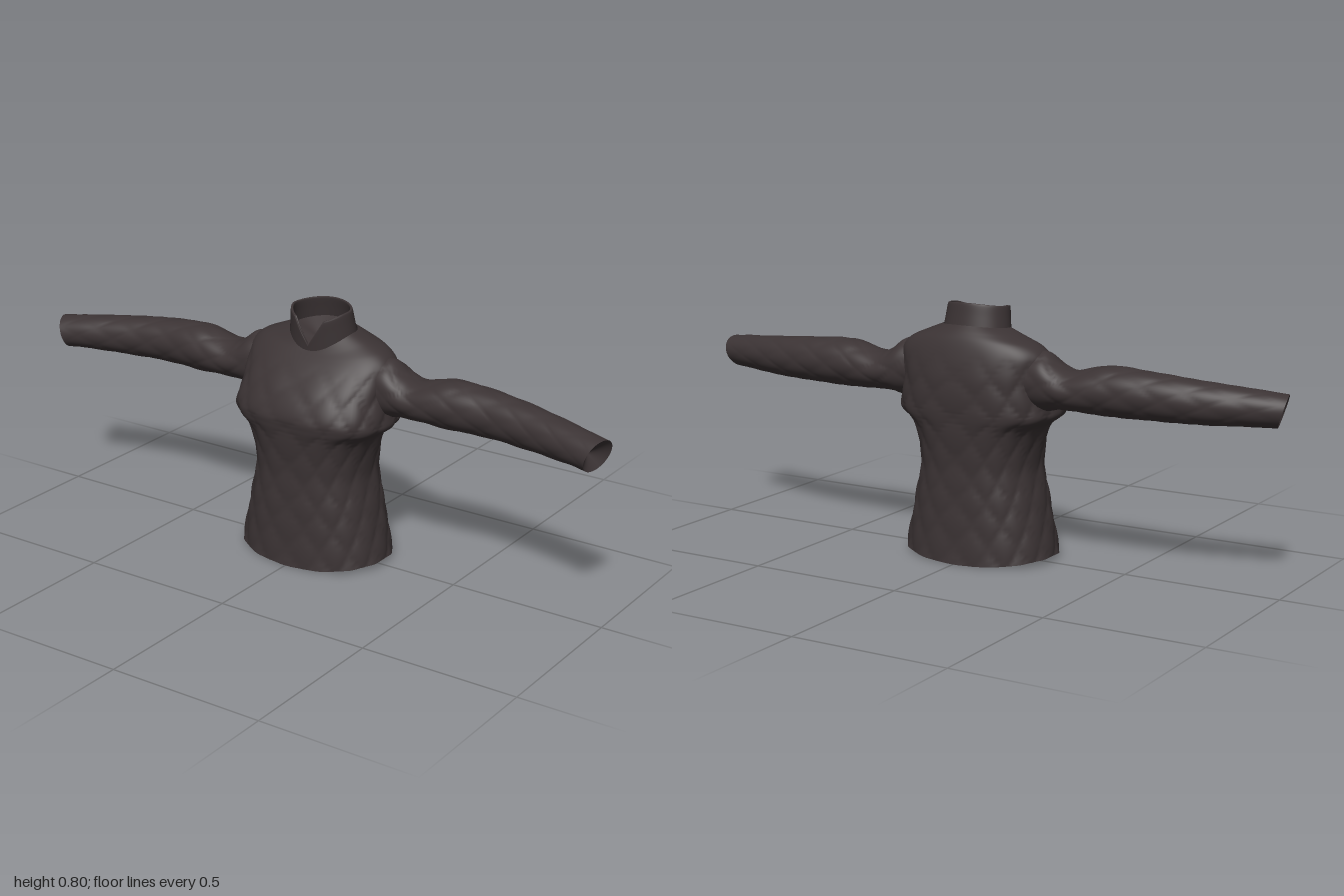
import * as THREE from 'three';

const SEG = 112;

// Smooth interpolation through the rows of a small table, t in 0..1
function sample(table, t) {
  const f = t * (table.length - 1);
  const i = Math.min(Math.floor(f), table.length - 2);
  const u = f - i;
  const row = (k) => table[Math.max(0, Math.min(table.length - 1, k))];
  return table[0].map((_, c) => {
    const [a, b, d, e] = [row(i - 1)[c], row(i)[c], row(i + 1)[c], row(i + 2)[c]];
    return b + 0.5 * u * (d - a + u * (2 * a - 5 * b + 4 * d - e + u * (3 * (b - d) + e - a)));
  });
}

// Skin of closed rings; point(t, angle) returns [x, y, z]
function loft(rows, point, flip = false, seg = SEG) {
  const pos = [], idx = [];
  for (let i = 0; i <= rows; i++) {
    for (let j = 0; j < seg; j++) pos.push(...point(i / rows, (j / seg) * Math.PI * 2));
  }
  for (let i = 0; i < rows; i++) {
    for (let j = 0; j < seg; j++) {
      const a = i * seg + j, b = i * seg + ((j + 1) % seg), c = a + seg, d = b + seg;
      if (flip) idx.push(a, b, c, b, d, c);
      else idx.push(a, c, b, b, c, d);
    }
  }
  const g = new THREE.BufferGeometry();
  g.setAttribute('position', new THREE.Float32BufferAttribute(pos, 3));
  g.setIndex(idx);
  g.computeVertexNormals();
  return g;
}

// Shallow cone from an opening's rim to an inner point
function lining(rim, apex, flip) {
  return loft(4, (t, a) => rim(a).map((v, k) => v + (apex[k] - v) * t), flip, 48);
}

// Diamond padding: 0 on the stitch lines, 1 in the middle of each diamond
const quilt = (u, v) => Math.sqrt(Math.abs(Math.sin(Math.PI * (u + v)) * Math.sin(Math.PI * (u - v))));
const power = (v, e) => Math.sign(v) * Math.abs(v) ** e;

// Body rings: y front, y side, y back, half width, z front, z back, squareness
const BODY = [
  [0, 0.02, 0, 0.25, 0.176, -0.176, 0.9],
  [0.1, 0.105, 0.1, 0.231, 0.17, -0.17, 0.88],
  [0.2, 0.2, 0.2, 0.208, 0.165, -0.165, 0.85],
  [0.29, 0.29, 0.29, 0.188, 0.161, -0.162, 0.82],
  [0.37, 0.37, 0.37, 0.195, 0.165, -0.166, 0.8],
  [0.42, 0.42, 0.42, 0.214, 0.17, -0.17, 0.78],
  [0.455, 0.455, 0.455, 0.258, 0.175, -0.173, 0.8],
  [0.49, 0.49, 0.49, 0.26, 0.176, -0.175, 0.8],
  [0.55, 0.55, 0.55, 0.25, 0.149, -0.174, 0.82],
  [0.6, 0.605, 0.605, 0.25, 0.114, -0.168, 0.85],
  [0.635, 0.645, 0.655, 0.25, 0.085, -0.157, 0.9],
  [0.652, 0.677, 0.69, 0.222, 0.069, -0.145, 0.95],
  [0.663, 0.703, 0.713, 0.165, 0.058, -0.131, 1],
  [0.67, 0.724, 0.732, 0.112, 0.051, -0.114, 1],
];

function ringPoint([yF, yS, yB, w, zF, zB, e], a, puff = 1) {
  const s = Math.sin(a), mid = (zF + zB) / 2;
  return [
    w * power(Math.cos(a), e) * puff,
    yS + ((s > 0 ? yF : yB) - yS) * s * s,
    mid + ((zF - zB) / 2) * power(s, e) * puff,
  ];
}

function bodyPoint(t, a) {
  const r = sample(BODY, t);
  const fade = 1 - THREE.MathUtils.smoothstep(r[1], 0.55, 0.68);
  return ringPoint(r, a, 0.985 + 0.015 * (1 - fade) + 0.03 * fade * quilt((a * 14) / (2 * Math.PI), r[1] / 0.13));
}

// Collar: outer wall, rolled edge and inner wall, with a V notch at the front
function collarPoint(t, a) {
  const [k, inset] = sample([[0, 0], [0.5, 0], [0.97, 0], [1, 0.004], [0.97, 0.008], [0.5, 0.008], [0.1, 0.008]], t);
  const low = ringPoint([0.665, 0.715, 0.728, 0.11, 0.052, -0.115, 1], a);
  const top = ringPoint([0.757, 0.787, 0.797, 0.1, 0.058, -0.1, 1], a);
  const away = Math.abs(a - Math.PI / 2);
  const height = k * (0.2 + 0.8 * Math.min(1, away / 0.55) ** 0.85);
  const p = low.map((v, i) => v + (top[i] - v) * height);
  p[0] -= Math.cos(a) * inset;
  p[2] -= Math.sin(a) * inset;
  return p;
}

// Sleeve rings: x, centre y, centre z, half height, half depth
const SLEEVE = [
  [0.19, 0.575, -0.035, 0.088, 0.075],
  [0.25, 0.573, -0.038, 0.088, 0.078],
  [0.3, 0.561, -0.039, 0.067, 0.08],
  [0.35, 0.555, -0.039, 0.061, 0.079],
  [0.46, 0.565, -0.038, 0.075, 0.077],
  [0.6, 0.563, -0.037, 0.071, 0.067],
  [0.75, 0.556, -0.017, 0.064, 0.062],
  [0.9, 0.55, 0.019, 0.055, 0.057],
  [0.978, 0.545, 0.041, 0.051, 0.053],
];

function sleevePoint(side, t, a) {
  const [x, cy, cz, ry, rz] = sample(SLEEVE, t);
  const slant = t ** 8;
  const puff = 0.98 + 0.045 * quilt((a * 6) / (2 * Math.PI), x / 0.13) * (1 - slant);
  return [
    side * (x + slant * (0.016 * Math.sin(a) - 0.015 * Math.cos(a))),
    cy + ry * Math.sin(a) * puff,
    cz + rz * Math.cos(a) * puff,
  ];
}

export function createModel() {
  const model = new THREE.Group();
  model.name = 'quiltedJacket';
  const cloth = new THREE.MeshStandardMaterial({ color: 0x3b3334, side: THREE.DoubleSide });
  cloth.name = 'charcoal cloth';

  const add = (name, geometry, parent = model) => {
    const mesh = new THREE.Mesh(geometry, cloth);
    mesh.name = name;
    parent.add(mesh);
  };

  // Body and hem opening
  add('body', loft(130, bodyPoint));
  add('hemLining', lining((a) => bodyPoint(0, a), [0, 0.07, 0], true));

  // Stand collar and neck opening
  add('collar', loft(30, collarPoint));
  add('neckLining', lining((a) => collarPoint(1, a), [0, 0.68, -0.03], false));

  // Mirrored sleeves with cuff openings
  for (const side of [1, -1]) {
    const sleeve = new THREE.Group();
    sleeve.name = side > 0 ? 'leftSleeve' : 'rightSleeve';
    add('sleeve', loft(110, (t, a) => sleevePoint(side, t, a), side < 0, 64), sleeve);
    add('cuffLining', lining((a) => sleevePoint(side, 1, a), [side * 0.94, 0.545, 0.035], side < 0), sleeve);
    model.add(sleeve);
  }
  return model;
}
